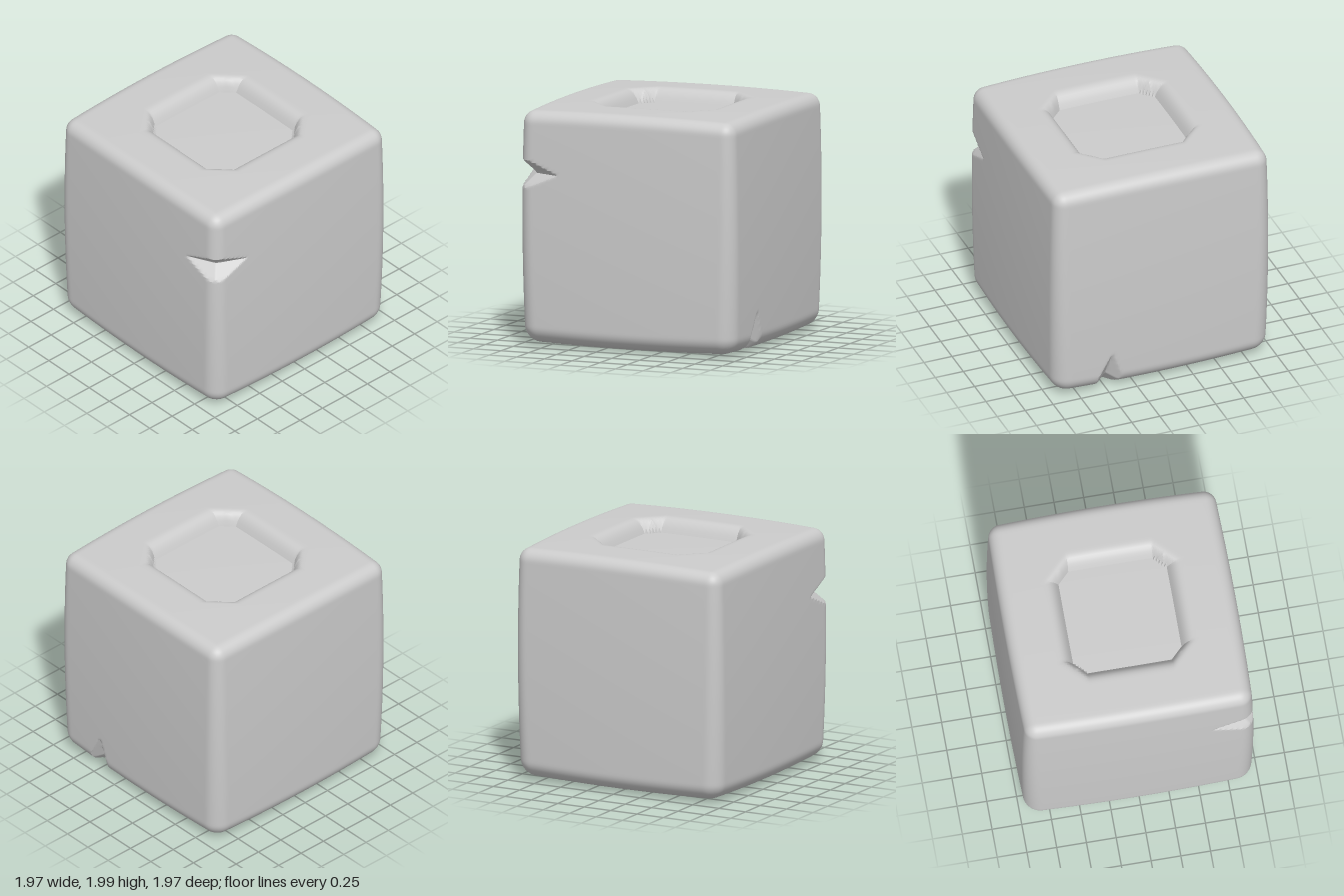
import * as THREE from 'three';
import { mergeVertices, toCreasedNormals } from 'three/addons/utils/BufferGeometryUtils.js';

const HALF = new THREE.Vector3(0.985, 1, 0.985);
const clamp = THREE.MathUtils.clamp;

// Rounded edges: softer at the bottom than at the top
function roundEdges(p) {
  const r = 0.12 - 0.02 * p.y;
  const lim = HALF.clone().subScalar(r);
  const inner = p.clone().clamp(lim.clone().negate(), lim);
  p.sub(inner).setLength(r).add(inner);
}

// Octagonal recess in the top: flat floor, steep wall easing into the rim
function sinkTop(p) {
  if (p.y < 0.9) return;
  const ax = Math.abs(p.x), az = Math.abs(p.z);
  const d = Math.max(ax, az, ax + az - 0.3618);
  const s = clamp((d - 0.4624) / 0.15, 0, 1);
  const floor = 0.88;
  p.y = floor + (p.y - floor) * (1 - (1 - s) ** 3);
}

// Faces swell slightly towards their middles
function bulge(p) {
  const { x, y, z } = p, k = 0.018;
  p.x *= 1 - k * (y * y + z * z);
  if (y < 0.9 || Math.max(Math.abs(x), Math.abs(z)) > 0.46) p.y *= 1 - k * (x * x + z * z);
  p.z *= 1 - k * (x * x + y * y);
}

// V-shaped chip across the edge between the faces with normals a and b
function chip(p, a, b, along, { centre, tilt, depth, fallA, fallB, slope }) {
  const pa = p.dot(a), pb = p.dot(b);
  const u = (pa + pb) / Math.SQRT2, t = (pa - pb) / Math.SQRT2;
  if (u < 0.9) return;
  const crease = depth - (t > 0 ? fallA : fallB) * Math.abs(t);
  const target = crease + slope * Math.abs(p.dot(along) - centre - tilt * t);
  if (target < u) p.addScaledVector(a.clone().add(b).normalize(), target - u);
}

export function createModel() {
  const X = new THREE.Vector3(1, 0, 0), Y = new THREE.Vector3(0, 1, 0), Z = new THREE.Vector3(0, 0, 1);
  const back = Z.clone().negate(), down = Y.clone().negate();

  let geo = new THREE.BoxGeometry(HALF.x * 2, HALF.y * 2, HALF.z * 2, 98, 100, 98);
  geo.deleteAttribute('uv');
  geo.deleteAttribute('normal');
  geo.clearGroups();
  geo = mergeVertices(geo, 1e-4);

  const pos = geo.attributes.position;
  const p = new THREE.Vector3();
  for (let i = 0; i < pos.count; i++) {
    p.fromBufferAttribute(pos, i);
    roundEdges(p);
    sinkTop(p);
    bulge(p);
    // chip on the front left vertical edge
    chip(p, X, Z, Y, { centre: 0.45, tilt: 0, depth: 1.2, fallA: 0.31, fallB: 0.31, slope: 1.13 });
    // chip on the bottom back edge
    chip(p, back, down, X, { centre: 0.49, tilt: -0.14, depth: 1.24, fallA: 0.42, fallB: 0.14, slope: 0.85 });
    pos.setXYZ(i, p.x, p.y + 1, p.z);
  }

  const block = new THREE.Mesh(
    toCreasedNormals(geo, 0.5),
    new THREE.MeshStandardMaterial({ color: 0xcccccc })
  );
  block.name = 'chippedBlock';

  const group = new THREE.Group();
  group.name = 'stoneBlock';
  group.add(block);
  return group;
}
